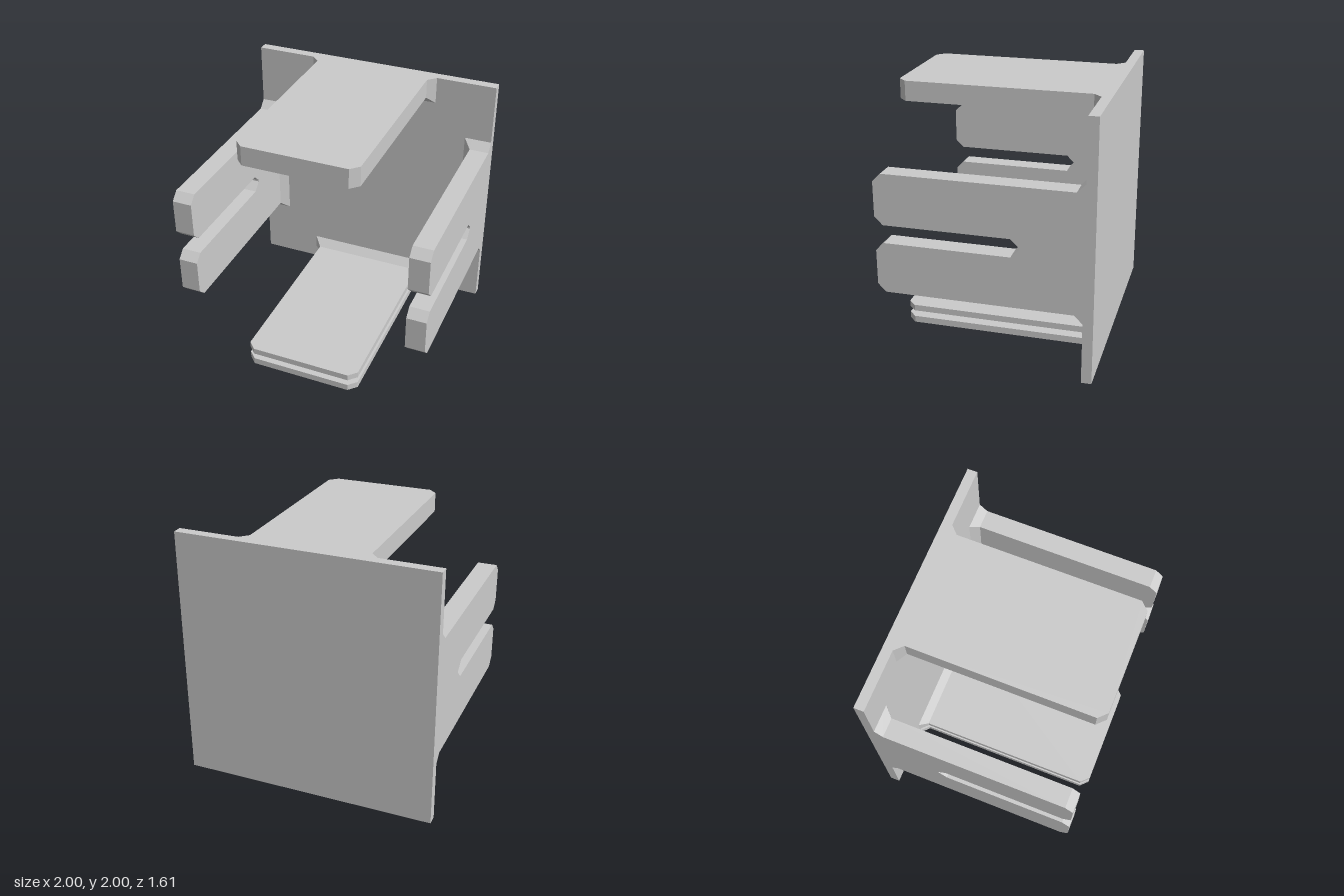
import * as THREE from 'three';
import { ConvexGeometry } from 'three/addons/geometries/ConvexGeometry.js';

const ROOT = -0.73;   // front face of the plate
const TIP = 0.807;    // free end of the arms
const HALF = 0.463;   // half width of an arm
const C = 0.062;      // chamfer size
const THICK = 0.153;  // arm thickness

const material = new THREE.MeshStandardMaterial({ color: 0xcccccc, flatShading: true });

function add(parent, geometry, name) {
  const mesh = new THREE.Mesh(geometry, material);
  mesh.name = name;
  parent.add(mesh);
}

// Arm outline (width, depth): flared root, chamfered tip, optional pointed slot
function outline(slotted) {
  const half = [[HALF + C, ROOT], [HALF, ROOT + C], [HALF, TIP - C], [HALF - C, TIP]];
  if (slotted) half.push([0.07 + C, TIP], [0.07, TIP - C], [0.07, -0.205], [0.007, -0.27]);
  const mirrored = half.map(([x, z]) => [-x, z]).reverse();
  return new THREE.Shape([...half, ...mirrored].map(([x, z]) => new THREE.Vector2(x, z)));
}

// Flat slab between two heights
function slab(shape, bottom, top) {
  return new THREE.ExtrudeGeometry(shape, { depth: top - bottom, bevelEnabled: false })
    .rotateX(Math.PI / 2)
    .translate(0, top, 0);
}

// Mitred chamfer strip joining an arm's inner face to the plate
function rootChamfer(y) {
  const points = [];
  for (const s of [-1, 1]) {
    points.push(
      new THREE.Vector3(s * (HALF + C), y, ROOT),
      new THREE.Vector3(s * (HALF + C), y + C, ROOT),
      new THREE.Vector3(s * HALF, y, ROOT + C));
  }
  return new ConvexGeometry(points);
}

// Each arm is made at the bottom edge, then turned around the plate's centre
function arm(name, angle, slotted, layers) {
  const group = new THREE.Group();
  group.name = name;
  const shape = outline(slotted);
  for (const [bottom, top] of layers) add(group, slab(shape, bottom - 1, top - 1), name + 'Slab');
  add(group, rootChamfer(THICK - 1), name + 'RootChamfer');
  group.rotation.z = angle;
  group.position.y = 1;
  return group;
}

export function createModel() {
  const model = new THREE.Group();
  model.name = 'squareEndCap';

  const depth = ROOT + TIP;
  add(model, new THREE.BoxGeometry(2, 2, depth).translate(0, 1, ROOT - depth / 2), 'plate');

  const solid = [[0, THICK]];
  model.add(
    arm('bottomArm', 0, false, [[0, 0.053], [0.103, THICK]]),
    arm('topArm', Math.PI, false, solid),
    arm('leftArm', Math.PI / 2, true, solid),
    arm('rightArm', -Math.PI / 2, true, solid));
  return model;
}
